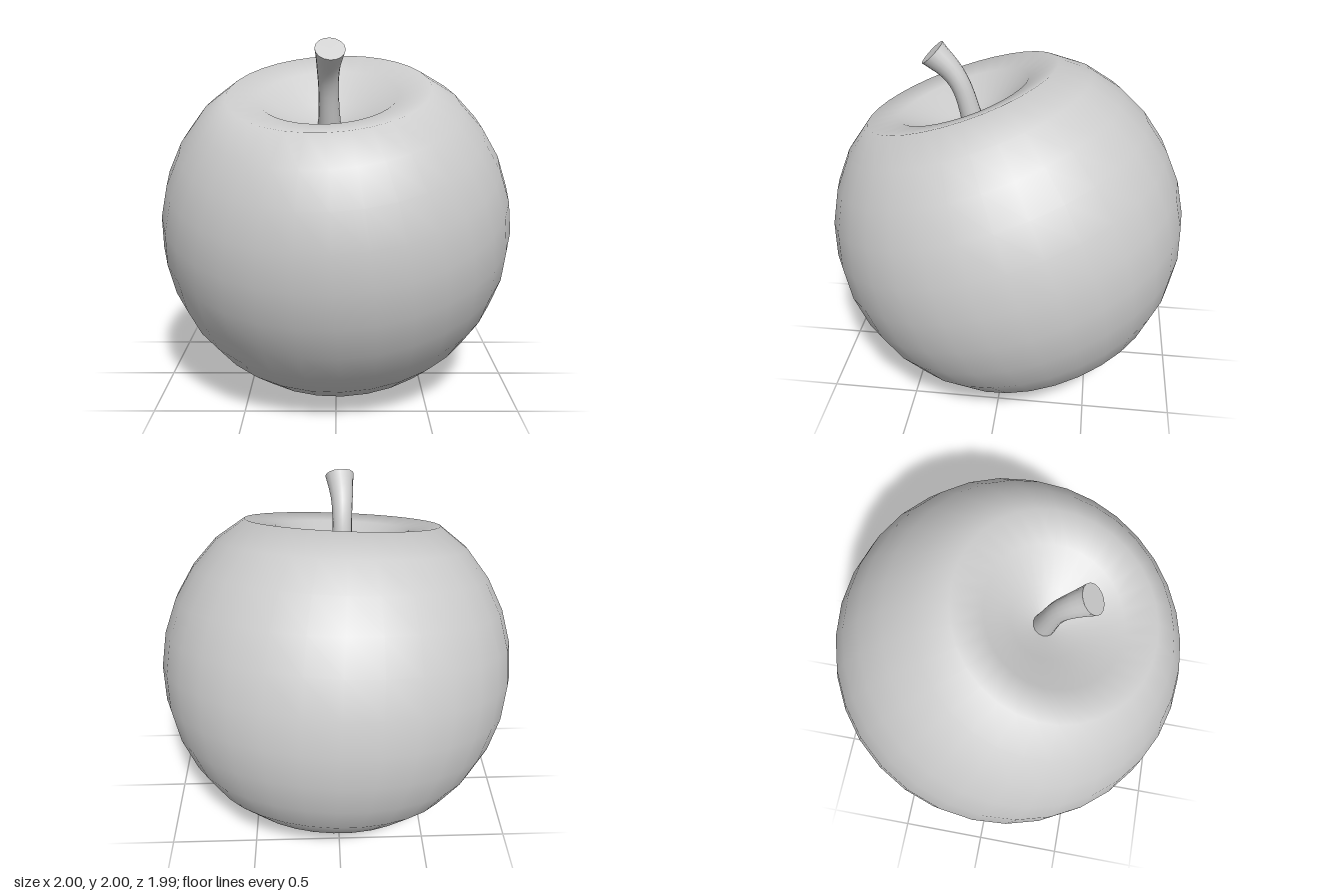
import * as THREE from 'three';

const material = new THREE.MeshStandardMaterial({ color: 0xcccccc });

// Half profile of the fruit: a sphere whose poles are pushed in
function fruitProfile() {
  const dent = [[0, 0.61], [0.195, 0.67], [0.375, 0.79], [0.55, 0.823]];
  const points = dent.map(([r, h]) => new THREE.Vector2(r, -h));
  for (let i = 4; i <= 12; i++) {
    const a = (i / 16) * Math.PI;
    points.push(new THREE.Vector2(Math.sin(a), -Math.cos(a)));
  }
  for (const [r, h] of [...dent].reverse()) points.push(new THREE.Vector2(r, h));
  return points;
}

// Tube along a curve whose radius varies from root to tip
function taperedTube(curve, segments, sides, radiusAt) {
  const geometry = new THREE.TubeGeometry(curve, segments, 1, sides, false);
  const pos = geometry.attributes.position;
  const p = new THREE.Vector3();
  for (let i = 0; i < pos.count; i++) {
    const t = Math.floor(i / (sides + 1)) / segments;
    const c = curve.getPointAt(t);
    p.fromBufferAttribute(pos, i).sub(c).multiplyScalar(radiusAt(t)).add(c);
    pos.setXYZ(i, p.x, p.y, p.z);
  }
  geometry.computeBoundingSphere();
  return geometry;
}

export function createModel() {
  const model = new THREE.Group();
  model.name = 'apple';

  // Fruit body, leaning forward and slightly sideways
  const fruit = new THREE.Mesh(new THREE.LatheGeometry(fruitProfile(), 32), material);
  fruit.name = 'fruit';
  fruit.position.y = 0.955;
  fruit.rotation.set(0.321, 0, 0.05);
  model.add(fruit);

  // Bent stem, flaring towards the cut end
  const stem = new THREE.Group();
  stem.name = 'stem';
  const curve = new THREE.CatmullRomCurve3([
    new THREE.Vector3(-0.035, 1.5, 0.185),
    new THREE.Vector3(-0.04, 1.755, 0.258),
    new THREE.Vector3(-0.04, 1.85, 0.315),
    new THREE.Vector3(-0.03, 1.948, 0.41),
  ]);
  const radiusAt = (t) => 0.066 - 0.012 * Math.sin(Math.PI * t) + 0.014 * t ** 4;
  const shaft = new THREE.Mesh(taperedTube(curve, 12, 16, radiusAt), material);
  shaft.name = 'stemShaft';
  stem.add(shaft);

  // Flat cut end of the stem
  const cap = new THREE.Mesh(new THREE.CircleGeometry(radiusAt(1), 16), material);
  cap.name = 'stemTip';
  cap.position.copy(curve.getPointAt(1));
  cap.quaternion.setFromUnitVectors(new THREE.Vector3(0, 0, 1), curve.getTangentAt(1));
  stem.add(cap);
  model.add(stem);

  return model;
}
